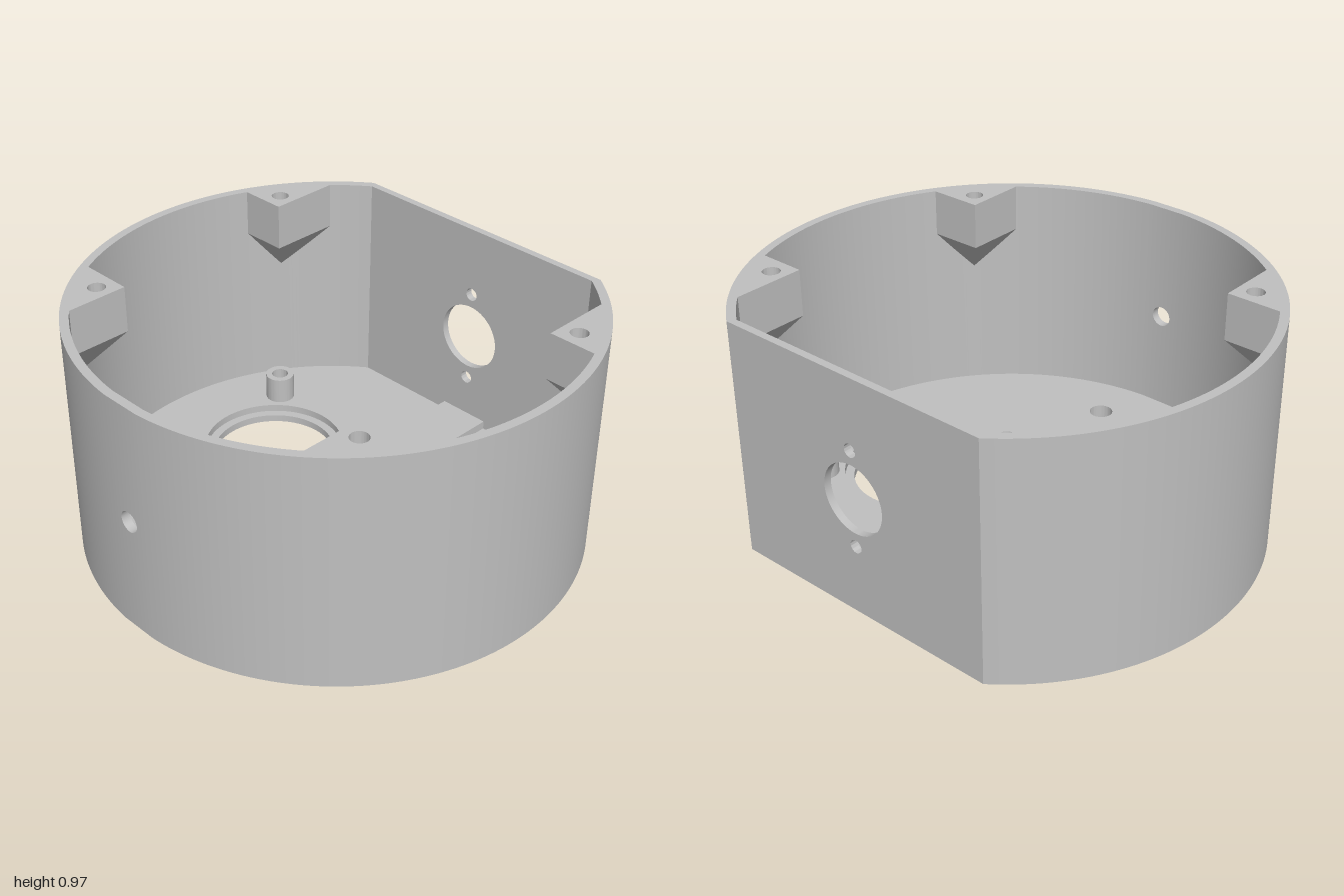
import * as THREE from 'three';
import { toCreasedNormals } from 'three/addons/utils/BufferGeometryUtils.js';
import { ConvexGeometry } from 'three/addons/geometries/ConvexGeometry.js';

const H = 0.97, R = 1, RI = 0.965;        // height, outer and inner radius
const BACK = -0.81, BACK_IN = -0.78;      // flat back, outside and inside
const GAP = 0.08;                         // half width of the front panel
const FLOOR = 0.08;
const EYE = { x: 0.43, z: -0.075 };       // floor opening centre

const grey = new THREE.MeshStandardMaterial({ color: 0xc0c0c0 });
grey.name = 'grey plastic';

const circle = (x, y, r) => new THREE.Path().absarc(x, y, r, 0, Math.PI * 2, false);

function add(parent, name, geometry) {
  const mesh = new THREE.Mesh(geometry, grey);
  mesh.name = name;
  parent.add(mesh);
  return mesh;
}

// Extrude a plan drawn in (x, z) from y0 up to y1
function slab(shape, y0, y1, segments = 48) {
  const g = new THREE.ExtrudeGeometry(shape, { depth: y1 - y0, bevelEnabled: false, curveSegments: segments });
  g.rotateX(Math.PI / 2).translate(0, y1, 0);
  return toCreasedNormals(g, 0.5);
}

function uprightRect(halfWidth) {
  return new THREE.Shape([[-halfWidth, 0], [halfWidth, 0], [halfWidth, H], [-halfWidth, H]]
    .map(([x, y]) => new THREE.Vector2(x, y)));
}

// Curved wall on one side, from the front panel to the flat back
function sideWall(sx) {
  const ang = a => (sx > 0 ? a : Math.PI - a);
  const s = new THREE.Shape();
  s.absarc(0, 0, R, ang(Math.acos(GAP / R)), ang(Math.asin(BACK / R)), sx > 0);
  const innerX = Math.sqrt(RI * RI - BACK_IN * BACK_IN);
  s.lineTo(sx * innerX, BACK);
  s.absarc(0, 0, RI, ang(Math.asin(BACK_IN / RI)), ang(Math.acos(GAP / RI)), sx < 0);
  return slab(s, 0, H, 72);
}

// Narrow front panel with a cable hole, bent to the wall radius
function frontPanel() {
  const s = uprightRect(GAP);
  s.holes.push(circle(0, 0.485, 0.042));
  const g = new THREE.ExtrudeGeometry(s, { depth: R - RI, bevelEnabled: false, curveSegments: 32 });
  g.translate(0, 0, RI);
  const p = g.attributes.position, n = g.attributes.normal;
  for (let i = 0; i < p.count; i++) {
    const x = p.getX(i), r = p.getZ(i), z = Math.sqrt(r * r - x * x), nz = n.getZ(i);
    p.setZ(i, z);
    if (Math.abs(nz) > 0.5) n.setXYZ(i, nz * x / r, 0, nz * z / r);
  }
  return g;
}

// Flat back wall with a large port and two screw holes
function backWall() {
  const s = uprightRect(Math.sqrt(RI * RI - BACK_IN * BACK_IN));
  s.holes.push(circle(0, 0.485, 0.14), circle(0, 0.682, 0.027), circle(0, 0.288, 0.027));
  const g = new THREE.ExtrudeGeometry(s, { depth: BACK_IN - BACK, bevelEnabled: false, curveSegments: 48 });
  return toCreasedNormals(g.translate(0, 0, BACK), 0.5);
}

function floorOutline() {
  const r = 0.97, a = Math.asin(-0.79 / r);
  return new THREE.Shape().absarc(0, 0, r, a, Math.PI - a, false);
}

// Round seat with a square notch towards the middle
function seatHole(sx) {
  const r = 0.285, half = 0.14, a = Math.asin(half / r);
  const path = new THREE.Path();
  const from = sx > 0 ? -Math.PI + a : a, to = sx > 0 ? Math.PI - a : Math.PI * 2 - a;
  path.absarc(sx * EYE.x, EYE.z, r, from, to, false);
  path.lineTo(sx * 0.11, EYE.z + sx * half);
  path.lineTo(sx * 0.11, EYE.z - sx * half);
  path.closePath();
  return path;
}

function arcSlot() {
  const mid = -Math.PI / 2, half = 0.93, path = new THREE.Path();
  path.absarc(0, -0.305, 0.39, mid - half, mid + half, false);
  path.absarc(0, -0.305, 0.36, mid + half, mid - half, true);
  path.closePath();
  return path;
}

// Corner screw post: drilled block on a tapered support
function screwPost(parent, name, sx, sz, a, b) {
  const r = 0.98, group = new THREE.Group();
  group.name = name;
  const pts = [[a, b]], a0 = Math.asin(b / r), a1 = Math.acos(a / r);
  for (let i = 0; i <= 8; i++) {
    const t = a0 + (a1 - a0) * i / 8;
    pts.push([r * Math.cos(t), r * Math.sin(t)]);
  }
  const plan = pts.map(([x, z]) => new THREE.Vector2(sx * x, sz * z));
  const shape = new THREE.Shape(plan);
  shape.holes.push(circle(sx * (a + 0.07), sz * (b + 0.075), 0.035));
  const base = H - 0.19;
  add(group, 'post block', slab(shape, base, H, 24));
  const apex = new THREE.Vector3(sx * (a + 0.14), base - 0.18, sz * (b + 0.14));
  add(group, 'post support', new ConvexGeometry([...plan.map(v => new THREE.Vector3(v.x, base, v.y)), apex]));
  parent.add(group);
}

export function createModel() {
  const model = new THREE.Group();
  model.name = 'round housing';
  const body = new THREE.Group();
  body.name = 'housing body';
  body.position.z = -0.095;
  model.add(body);

  add(body, 'left wall', sideWall(1));
  add(body, 'right wall', sideWall(-1));
  add(body, 'front panel', frontPanel());
  add(body, 'back wall', backWall());

  // Floor in three layers: outer recesses, lips, inner seats
  const lower = floorOutline(), middle = floorOutline(), upper = floorOutline();
  lower.holes.push(arcSlot());
  for (const sx of [1, -1]) {
    lower.holes.push(circle(sx * EYE.x, EYE.z, 0.36), circle(sx * 0.35, -0.59, 0.022));
    middle.holes.push(circle(sx * EYE.x, EYE.z, 0.25));
    upper.holes.push(seatHole(sx));
  }
  add(body, 'floor underside', slab(lower, 0, 0.02, 72));
  add(body, 'floor lip', slab(middle, 0.02, 0.05, 72));
  add(body, 'floor seat', slab(upper, 0.05, FLOOR, 72));

  // Low rib from the back wall to the middle of the floor
  const rib = add(body, 'floor rib', new THREE.BoxGeometry(0.22, 0.04, 0.675));
  rib.position.set(0, FLOOR + 0.015, -0.4425);

  for (const sx of [1, -1]) {
    const side = sx > 0 ? 'left' : 'right';
    // Mounting bosses on the floor
    for (const [x, z] of [[0.185, 0.195], [0.68, -0.345]]) {
      const s = new THREE.Shape().absarc(sx * x, z, 0.06, 0, Math.PI * 2, false);
      s.holes.push(circle(sx * x, z, 0.034));
      add(body, side + ' boss', slab(s, FLOOR, 0.19, 32));
    }
    screwPost(body, side + ' back post', sx, -1, 0.7, 0.37);
    screwPost(body, side + ' front post', sx, 1, 0.61, 0.495);
  }
  return model;
}
